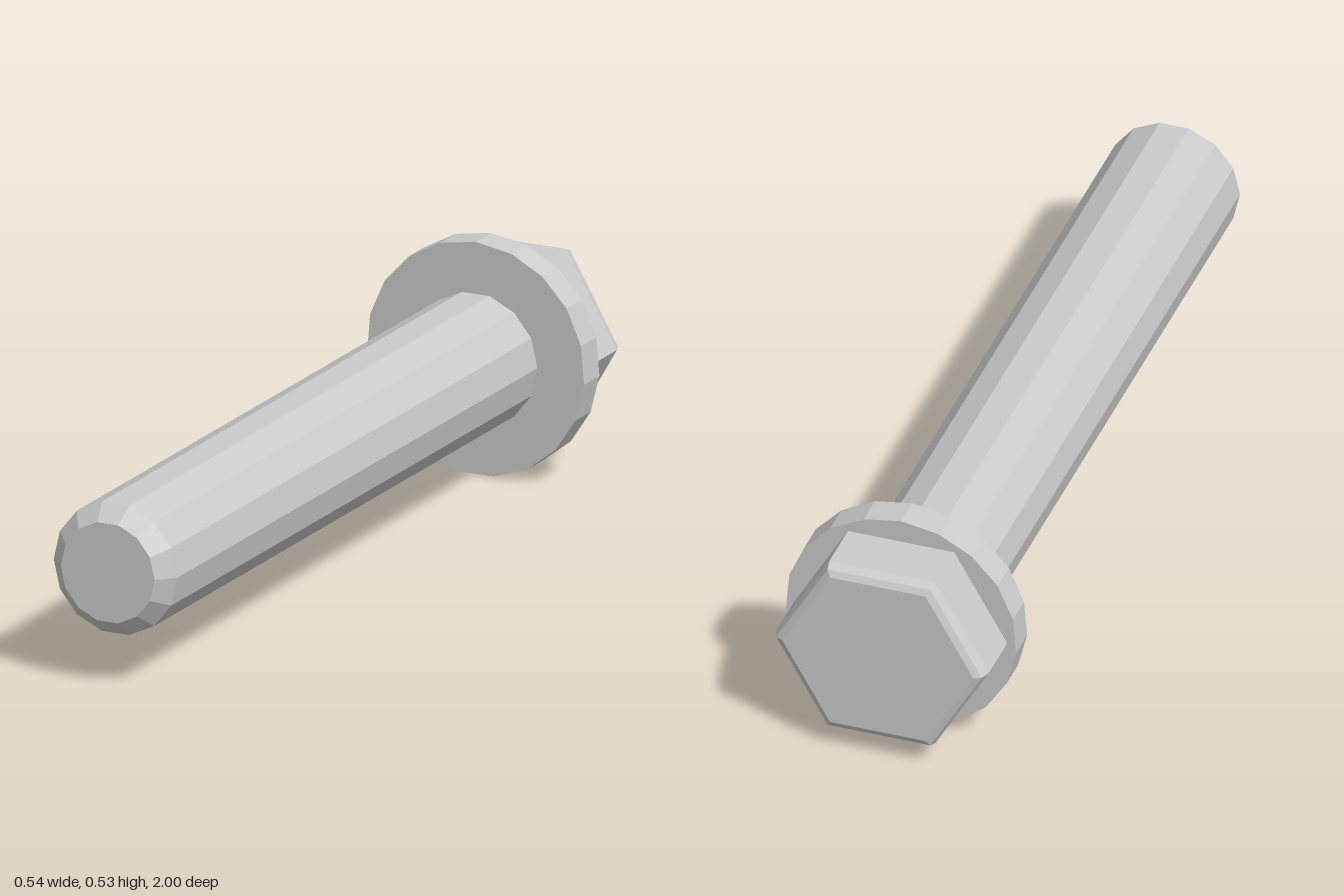
import * as THREE from 'three';

const AXIS_Y = 0.2657; // height of the bolt's axis

export function createModel() {
  const group = new THREE.Group();
  group.name = 'flangeBolt';
  const material = new THREE.MeshStandardMaterial({ color: 0xcccccc, flatShading: true });

  // Faceted solid turned about the z axis; profile is [radius, z] from back to front
  function addTurned(name, profile, sides, startAngle) {
    const points = profile.map(([r, z]) => new THREE.Vector2(r, z));
    const geometry = new THREE.LatheGeometry(points, sides, startAngle);
    geometry.rotateX(Math.PI / 2);
    const mesh = new THREE.Mesh(geometry, material);
    mesh.name = name;
    mesh.position.y = AXIS_Y;
    group.add(mesh);
  }

  // Fourteen-sided shaft with a chamfered tip
  addTurned('shaft', [[0, -0.78], [0.153, -0.78], [0.153, 0.962], [0.116, 1], [0, 1]], 14, Math.PI / 2);

  // Round flange, one corner pointing straight up
  addTurned('flange', [[0, -0.846], [0.2693, -0.846], [0.2693, -0.772], [0, -0.772]], 19, Math.PI);

  // Hexagonal head with a two-step bevel around its back face
  addTurned('hexHead', [
    [0, -1], [0.223, -1], [0.24, -0.992], [0.248, -0.97], [0.248, -0.84], [0, -0.84],
  ], 6, Math.PI / 2);

  return group;
}
